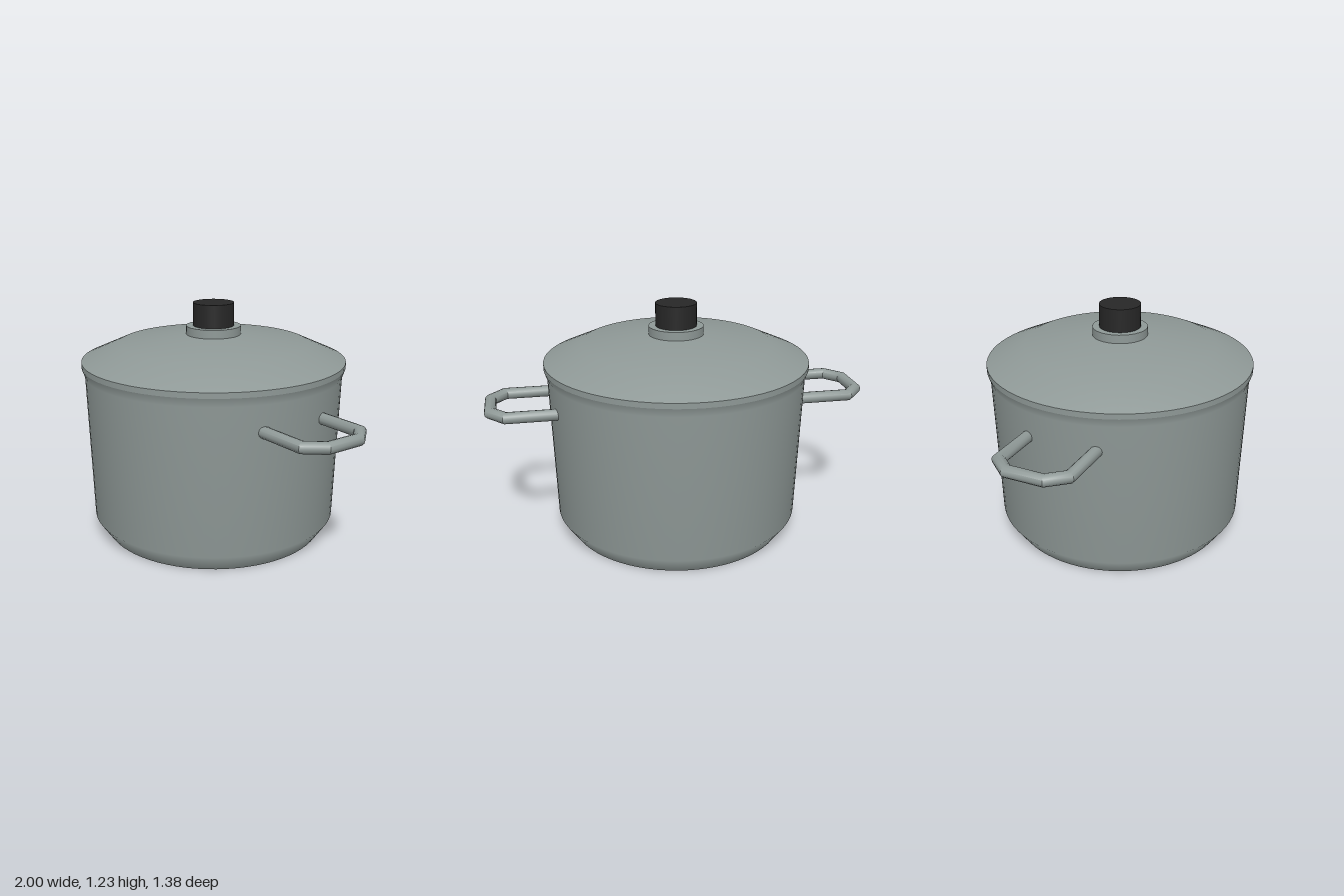
import * as THREE from 'three';
import { toCreasedNormals } from 'three/addons/utils/BufferGeometryUtils.js';

const metal = new THREE.MeshStandardMaterial({ color: 0x8f9997 });
metal.name = 'greyMetal';
const black = new THREE.MeshStandardMaterial({ color: 0x272727 });
black.name = 'blackKnob';

function add(parent, name, geometry, material) {
  const mesh = new THREE.Mesh(geometry, material);
  mesh.name = name;
  parent.add(mesh);
  return mesh;
}

// Surface of revolution; profile runs so that the outside faces out
const lathe = (profile) =>
  new THREE.LatheGeometry(profile.map(([r, y]) => new THREE.Vector2(r, y)), 72);

// Round bar along a flat [x, z] path with mitred corners
function mitredBar(path, y, radius, sides) {
  const pts = path.map(([x, z]) => new THREE.Vector2(x, z));
  const dir = (i) => pts[i + 1].clone().sub(pts[i]).normalize();
  const positions = [];
  const index = [];
  pts.forEach((p, i) => {
    const before = dir(Math.max(i - 1, 0));
    const after = dir(Math.min(i, pts.length - 2));
    const along = before.clone().add(after).normalize();
    const stretch = 1 / along.dot(before);
    for (let k = 0; k < sides; k++) {
      const a = (k / sides) * Math.PI * 2;
      const out = Math.cos(a) * radius * stretch;
      positions.push(p.x + along.y * out, y + Math.sin(a) * radius, p.y - along.x * out);
      if (i < pts.length - 1) {
        const j = i * sides + k;
        const n = i * sides + ((k + 1) % sides);
        index.push(j, n, j + sides, n, n + sides, j + sides);
      }
    }
  });
  // End caps
  const last = (pts.length - 1) * sides;
  for (let k = 1; k < sides - 1; k++) {
    index.push(0, k + 1, k, last, last + k, last + k + 1);
  }
  const geometry = new THREE.BufferGeometry();
  geometry.setAttribute('position', new THREE.Float32BufferAttribute(positions, 3));
  geometry.setIndex(index);
  return toCreasedNormals(geometry, 0.65);
}

export function createModel() {
  const pot = new THREE.Group();
  pot.name = 'cookingPot';

  // Body: flat base, bevel, slightly flaring wall
  add(pot, 'base', lathe([[0, 0], [0.585, 0]]), metal);
  add(pot, 'wall', lathe([[0.585, 0], [0.65, 0.095], [0.674, 0.86], [0.69, 0.905]]), metal);

  // Lid: narrow rim and shallow dome
  add(pot, 'lidRim', lathe([[0.69, 0.905], [0.69, 0.933]]), metal);
  add(pot, 'lid', lathe([[0.69, 0.933], [0.495, 1.02], [0.17, 1.06], [0, 1.062]]), metal);

  // Knob on its collar
  const collar = add(pot, 'knobCollar', new THREE.CylinderGeometry(0.143, 0.143, 0.055, 32), metal);
  collar.position.y = 1.0775;
  const knob = add(pot, 'knob', new THREE.CylinderGeometry(0.107, 0.107, 0.125, 32), black);
  knob.position.y = 1.1625;

  // Side handles
  const path = [[0.62, 0.182], [0.895, 0.182], [0.97, 0.095],
    [0.97, -0.095], [0.895, -0.182], [0.62, -0.182]];
  const handle = mitredBar(path, 0.725, 0.03, 12);
  add(pot, 'leftHandle', handle, metal);
  add(pot, 'rightHandle', handle, metal).rotation.y = Math.PI;

  return pot;
}
